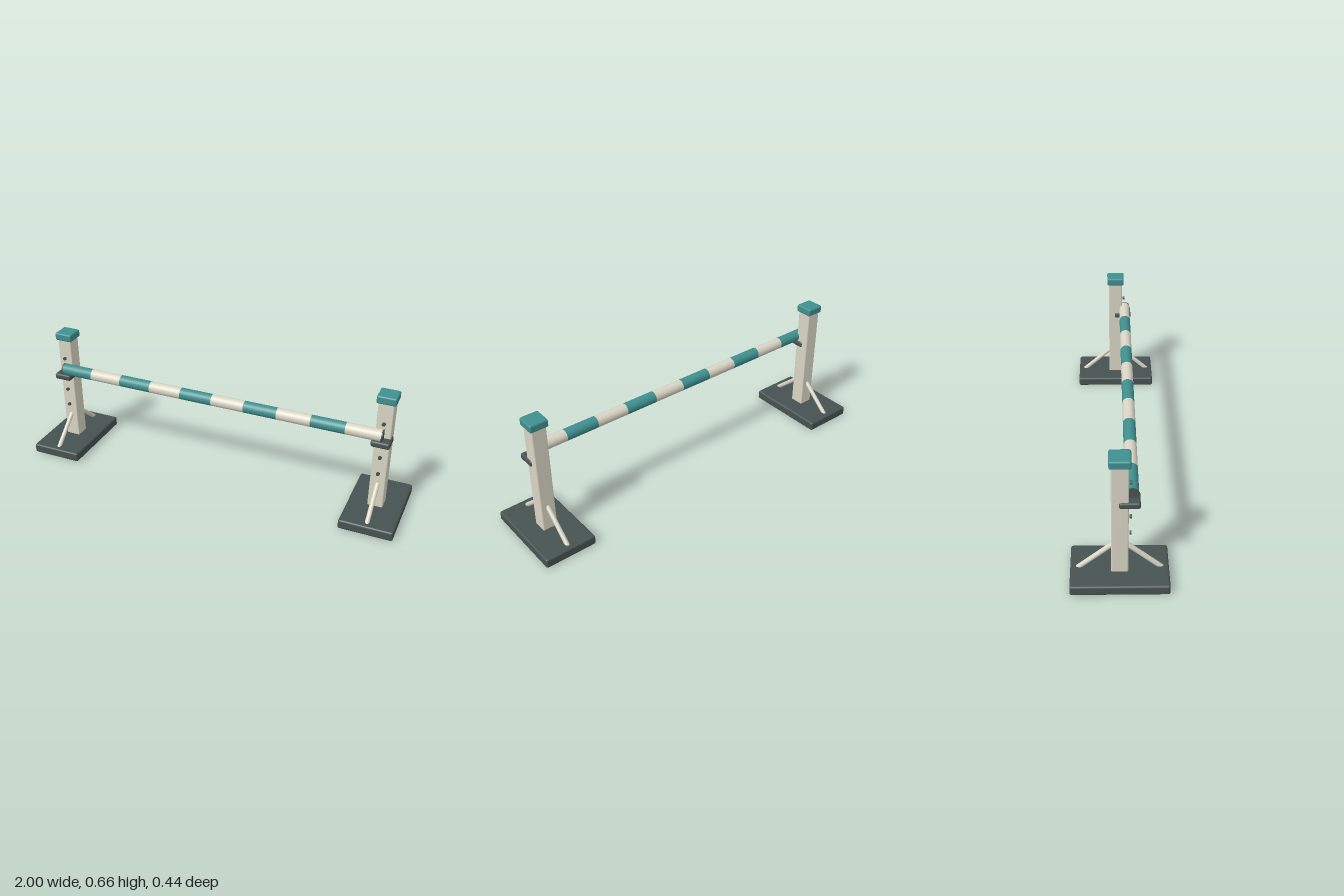
import * as THREE from 'three';
import { RoundedBoxGeometry } from 'three/addons/geometries/RoundedBoxGeometry.js';

const material = (name, color) => {
  const m = new THREE.MeshStandardMaterial({ color });
  m.name = name;
  return m;
};

export function createModel() {
  const teal = material('teal', 0x3f8f8f);
  const cream = material('cream', 0xd9d5c5);
  const slate = material('slate', 0x465351);

  const model = new THREE.Group();
  model.name = 'jumpHurdle';

  const add = (parent, name, geometry, mat, x, y, z) => {
    const mesh = new THREE.Mesh(geometry, mat);
    mesh.name = name;
    mesh.position.set(x, y, z);
    parent.add(mesh);
    return mesh;
  };
  const box = (w, h, d, r) => new RoundedBoxGeometry(w, h, d, 3, r);

  const postX = 0.865, poleY = 0.465, poleZ = 0.052, poleR = 0.03;

  // Two matching uprights
  for (const side of [-1, 1]) {
    const stand = new THREE.Group();
    stand.name = side > 0 ? 'leftStand' : 'rightStand';
    stand.position.x = side * postX;
    model.add(stand);

    add(stand, 'base', box(0.27, 0.05, 0.442, 0.01), slate, 0, 0.026, 0);
    add(stand, 'post', box(0.076, 0.6, 0.076, 0.006), cream, 0, 0.335, 0);
    add(stand, 'cap', box(0.095, 0.041, 0.095, 0.009), teal, 0, 0.645, 0);
    add(stand, 'cup', box(0.092, 0.032, 0.092, 0.01), slate, 0, 0.429, 0.042);

    // Height pegs in front of the post
    for (let i = 0; i < 4; i++) {
      const peg = add(stand, 'heightPeg', new THREE.CylinderGeometry(0.009, 0.009, 0.009, 16),
        slate, 0, 0.246 + i * 0.0925, 0.0475);
      peg.rotation.x = Math.PI / 2;
    }

    // Sloping braces, front and back
    for (const dir of [-1, 1]) {
      const foot = new THREE.Vector3(0, 0.04, dir * 0.191);
      const head = new THREE.Vector3(0, 0.191, dir * 0.02);
      const slope = head.clone().sub(foot);
      const mid = foot.clone().add(head).multiplyScalar(0.5);
      const brace = add(stand, dir > 0 ? 'frontBrace' : 'backBrace',
        new THREE.CylinderGeometry(0.0115, 0.0115, slope.length(), 20), cream, mid.x, mid.y, mid.z);
      brace.quaternion.setFromUnitVectors(new THREE.Vector3(0, 1, 0), slope.normalize());
    }
  }

  // Striped pole, alternating bands
  const pole = new THREE.Group();
  pole.name = 'pole';
  pole.position.set(0, poleY, poleZ);
  model.add(pole);
  const bands = 10, bandLength = (2 * postX) / bands;
  for (let i = 0; i < bands; i++) {
    const band = add(pole, 'poleBand', new THREE.CylinderGeometry(poleR, poleR, bandLength, 32, 1, true),
      i % 2 ? cream : teal, -postX + (i + 0.5) * bandLength, 0, 0);
    band.rotation.z = Math.PI / 2;
  }

  // Dark end discs
  for (const side of [-1, 1]) {
    const end = add(pole, 'poleEnd', new THREE.CylinderGeometry(poleR, poleR, 0.008, 32),
      slate, side * (postX + 0.002), 0, 0);
    end.rotation.z = Math.PI / 2;
  }
  return model;
}
